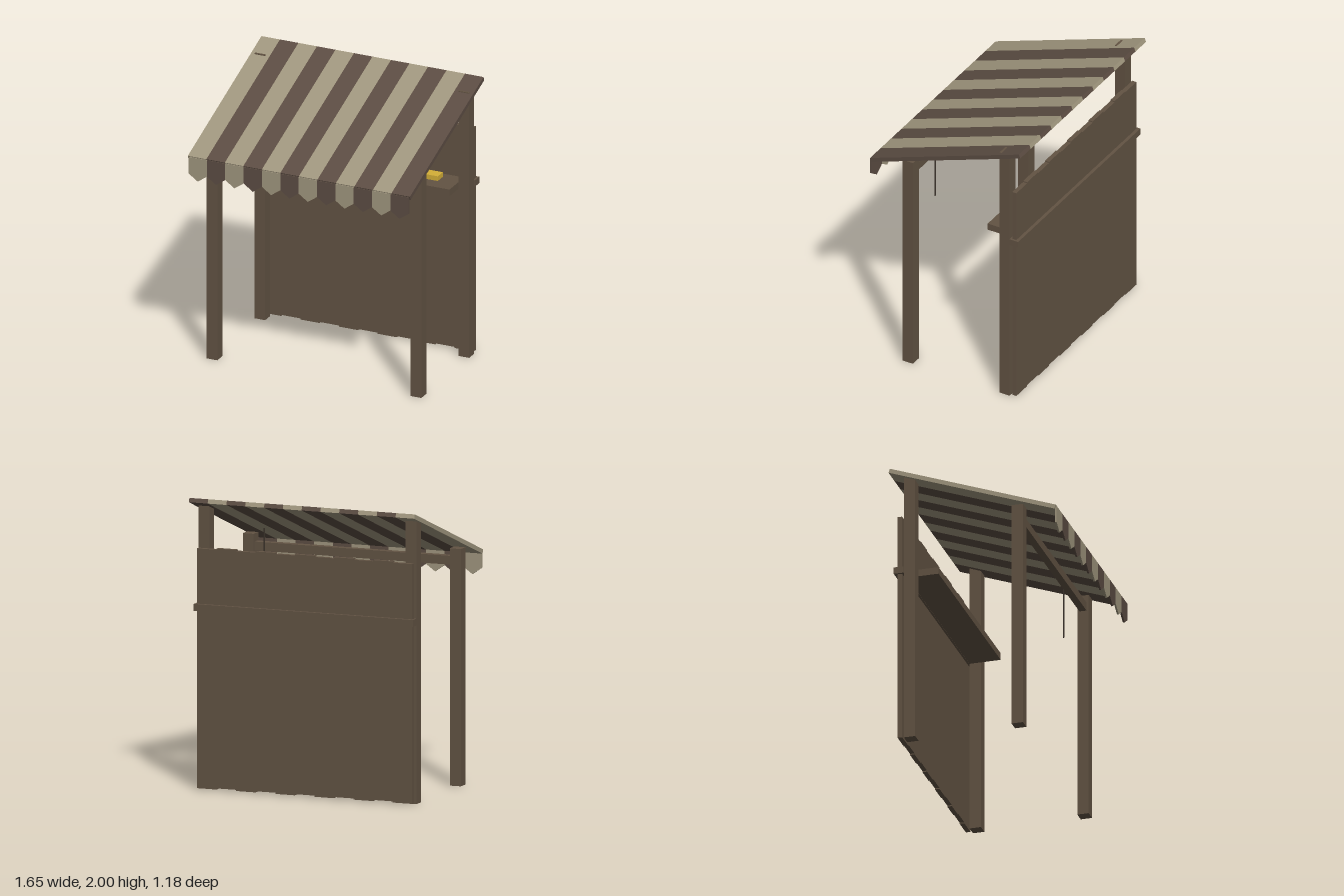
import * as THREE from 'three';

const material = (name, color) => {
  const m = new THREE.MeshStandardMaterial({ color });
  m.name = name;
  return m;
};

export function createModel() {
  const wood = material('brown wood', 0x625343);
  const darkCloth = material('dark cloth', 0x5c4d43);
  const paleCloth = material('pale cloth', 0xa0967e);
  const gold = material('gold', 0xd4af37);
  const ropeColour = material('dark rope', 0x3c342c);

  const stall = new THREE.Group();
  stall.name = 'marketStall';

  const add = (name, geometry, mat, parent = stall) => {
    const mesh = new THREE.Mesh(geometry, mat);
    mesh.name = name;
    parent.add(mesh);
    return mesh;
  };

  // Box given by its minimum and maximum on each axis
  const box = (name, [x0, x1], [y0, y1], [z0, z1], mat, parent) => {
    const mesh = add(name, new THREE.BoxGeometry(x1 - x0, y1 - y0, z1 - z0), mat, parent);
    mesh.position.set((x0 + x1) / 2, (y0 + y1) / 2, (z0 + z1) / 2);
    return mesh;
  };

  // Four posts; the back ones just break through the roof
  for (const [side, s] of [['left', 1], ['right', -1]]) {
    const x = [s * 0.76 - 0.04, s * 0.76 + 0.04];
    box(side + 'FrontPost', x, [0, 1.625], [0.27, 0.35], wood);
    box(side + 'BackPost', x, [0, 1.944], [-0.49, -0.41], wood);
  }
  box('frontBeam', [-0.72, 0.72], [1.51, 1.57], [0.285, 0.335], wood);

  // Back wall of planks with slightly uneven ends
  const wall = new THREE.Group();
  wall.name = 'backWall';
  stall.add(wall);
  const planks = 11, plankWidth = 1.58 / planks;
  for (let i = 0; i < planks; i++) {
    const x = -0.79 + i * plankWidth;
    const shift = i % 2 ? 0.008 : 0;
    box('plank', [x, x + plankWidth], [0.008 + shift, 1.65 + shift], [-0.537, -0.505], wood, wall);
  }
  box('backRail', [-0.805, 0.805], [1.225, 1.272], [-0.56, -0.491], wood);

  // Shelf with bars on it
  box('shelf', [-0.719, 0.719], [1.225, 1.274], [-0.49, -0.27], wood);
  box('goldBar', [-0.59, -0.375], [1.274, 1.308], [-0.45, -0.37], gold);
  box('goldBar', [-0.105, 0.1], [1.274, 1.308], [-0.45, -0.37], gold);
  box('goldBar', [0.375, 0.585], [1.274, 1.308], [-0.45, -0.37], gold);
  box('upperGoldBar', [-0.345, -0.14], [1.315, 1.35], [-0.45, -0.385], gold);

  // Hanging rope
  const rope = add('rope', new THREE.CylinderGeometry(0.005, 0.005, 0.42, 6), ropeColour);
  rope.position.set(0.615, 1.49, 0.205);

  // Sloping striped roof
  const roof = new THREE.Group();
  roof.name = 'stripedRoof';
  roof.position.y = 1.773;
  roof.rotation.x = THREE.MathUtils.degToRad(20);
  stall.add(roof);

  // Pointed cloth flap, hung from its top edge
  const flapWidth = 1.64 / 12, h = flapWidth / 2;
  const flapShape = new THREE.Shape([
    new THREE.Vector2(-h, 0),
    new THREE.Vector2(-h, -0.12),
    new THREE.Vector2(0, -0.168),
    new THREE.Vector2(h, -0.12),
    new THREE.Vector2(h, 0),
  ]);
  const flapGeometry = new THREE.ExtrudeGeometry(flapShape, { depth: 0.012, bevelEnabled: false });
  const valance = new THREE.Group();
  valance.name = 'valance';
  stall.add(valance);

  const stripeWidth = 1.655 / 12;
  for (let i = 0; i < 12; i++) {
    const cloth = i % 2 ? darkCloth : paleCloth;
    const stripe = add('roofStripe', new THREE.BoxGeometry(stripeWidth, 0.03, 1.245), cloth, roof);
    stripe.position.x = (i - 5.5) * stripeWidth;
    const flap = add('flap', flapGeometry, cloth, valance);
    flap.position.set((i - 5.5) * flapWidth, 1.568, 0.582);
  }

  return stall;
}
